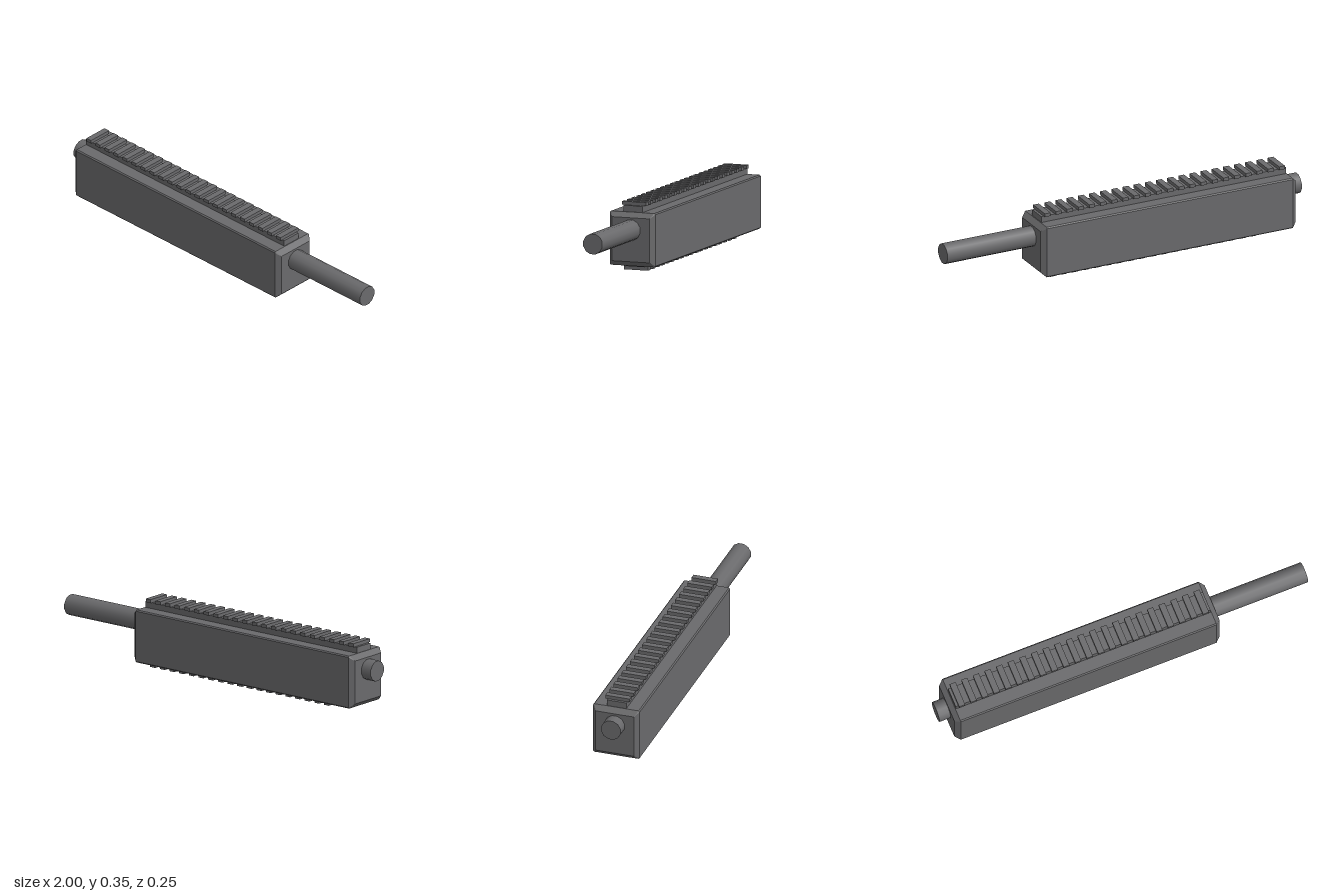
import * as THREE from 'three';
import { ConvexGeometry } from 'three/addons/geometries/ConvexGeometry.js';

export function createModel() {
  const model = new THREE.Group();
  const metal = new THREE.MeshStandardMaterial({ color: 0x6a6a6c });
  metal.name = 'dark grey metal';

  const add = (name, geometry, x, y, z, parent = model) => {
    const mesh = new THREE.Mesh(geometry, metal);
    mesh.name = name;
    mesh.position.set(x, y, z);
    parent.add(mesh);
    return mesh;
  };

  // Housing: long box with slim edge chamfers and deeper bevelled ends
  const halfLength = 0.72, halfHeight = 0.137, halfWidth = 0.124, edge = 0.006;
  const points = [];
  for (const sx of [-1, 1]) for (const sy of [-1, 1]) for (const sz of [-1, 1]) {
    const corner = (x, y, z) => points.push(new THREE.Vector3(sx * x, sy * y, sz * z));
    corner(halfLength, halfHeight - 0.025, halfWidth - 0.022);
    corner(halfLength - 0.026, halfHeight, halfWidth - edge);
    corner(halfLength - 0.026, halfHeight - edge, halfWidth);
  }
  add('housing', new ConvexGeometry(points), -0.22, 0.164, 0);

  // Barrel: twelve-sided rod running through the housing
  const rod = new THREE.CylinderGeometry(0.0535, 0.0535, 2, 12);
  rod.rotateY(Math.PI / 12);
  rod.rotateZ(-Math.PI / 2);
  add('barrel', rod, 0, 0.213, 0);

  // Rails: narrow base strip carrying evenly spaced wider cross teeth
  const pitch = 0.063;
  function addRail(name, x0, x1, baseY0, baseY1, toothY0, toothY1, firstTooth, count) {
    const rail = new THREE.Group();
    rail.name = name;
    model.add(rail);
    add('railBase', new THREE.BoxGeometry(x1 - x0, baseY1 - baseY0, 0.104),
      (x0 + x1) / 2, (baseY0 + baseY1) / 2, 0, rail);
    const tooth = new THREE.BoxGeometry(0.032, toothY1 - toothY0, 0.13);
    for (let i = 0; i < count; i++) {
      add('railTooth', tooth, firstTooth + i * pitch, (toothY0 + toothY1) / 2, 0, rail);
    }
  }
  addRail('topRail', -0.912, 0.47, 0.298, 0.333, 0.333, 0.351, -0.882, 22);
  addRail('bottomRail', -0.75, 0.436, 0.018, 0.03, 0, 0.018, -0.722, 19);

  return model;
}
